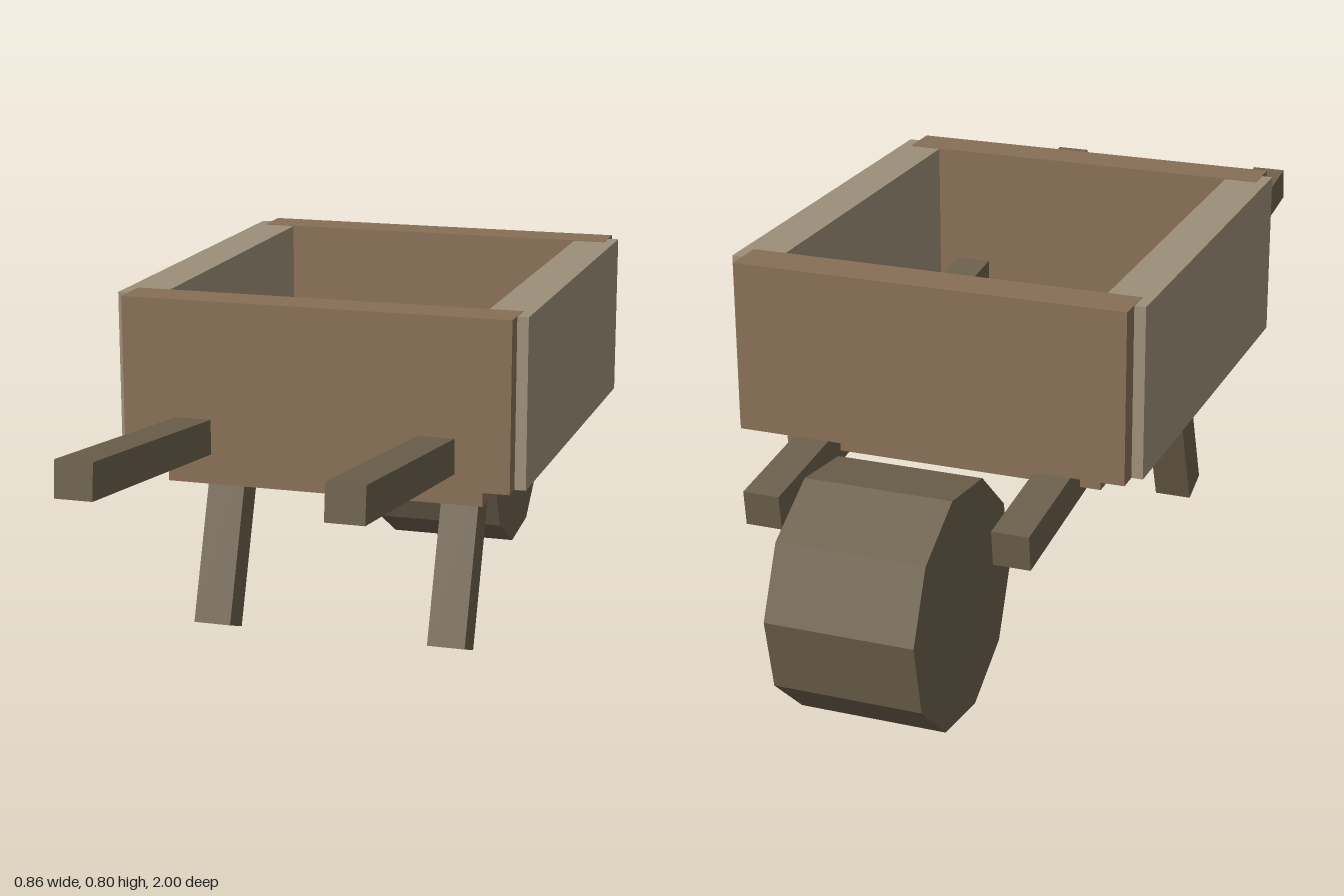
import * as THREE from 'three';

export function createModel() {
  const group = new THREE.Group();
  const mat = (color) => new THREE.MeshStandardMaterial({ color, flatShading: true });
  const plank = mat(0x876f56);
  const sidePlank = mat(0x9c8e78);
  const beamWood = mat(0x6b5f4b);

  const add = (name, geometry, material, x, y, z, tilt = 0) => {
    const mesh = new THREE.Mesh(geometry, material);
    mesh.name = name;
    mesh.position.set(x, y, z);
    mesh.rotation.x = tilt;
    group.add(mesh);
    return mesh;
  };
  const box = (w, h, d) => new THREE.BoxGeometry(w, h, d);

  // Tray: floor, end boards and slightly overlapping side boards
  add('floor', box(0.67, 0.092, 0.845), plank, 0, 0.449, -0.083);
  add('frontBoard', box(0.81, 0.35, 0.09), plank, 0, 0.625, 0.355);
  add('backBoard', box(0.81, 0.35, 0.09), plank, 0, 0.625, -0.527);

  for (const [side, s] of [['left', 1], ['right', -1]]) {
    add(side + 'SideBoard', box(0.092, 0.349, 0.89), sidePlank, s * 0.382, 0.6245, -0.085);
    // One sloping beam is both the handle and the wheel arm
    add(side + 'HandleBeam', box(0.075, 0.072, 1.79), beamWood, s * 0.255, 0.486, 0.107, -0.115);
    // Splayed rear support
    add(side + 'Leg', box(0.08, 0.4, 0.076), beamWood, s * 0.255, 0.263, 0.21, -0.347);
  }

  // Ten-sided wheel lying along x
  const wheel = new THREE.CylinderGeometry(0.243, 0.243, 0.3, 10, 1, false, Math.PI / 6);
  wheel.rotateZ(Math.PI / 2);
  add('wheel', wheel, beamWood, 0, 0.241, -0.757);

  return group;
}
